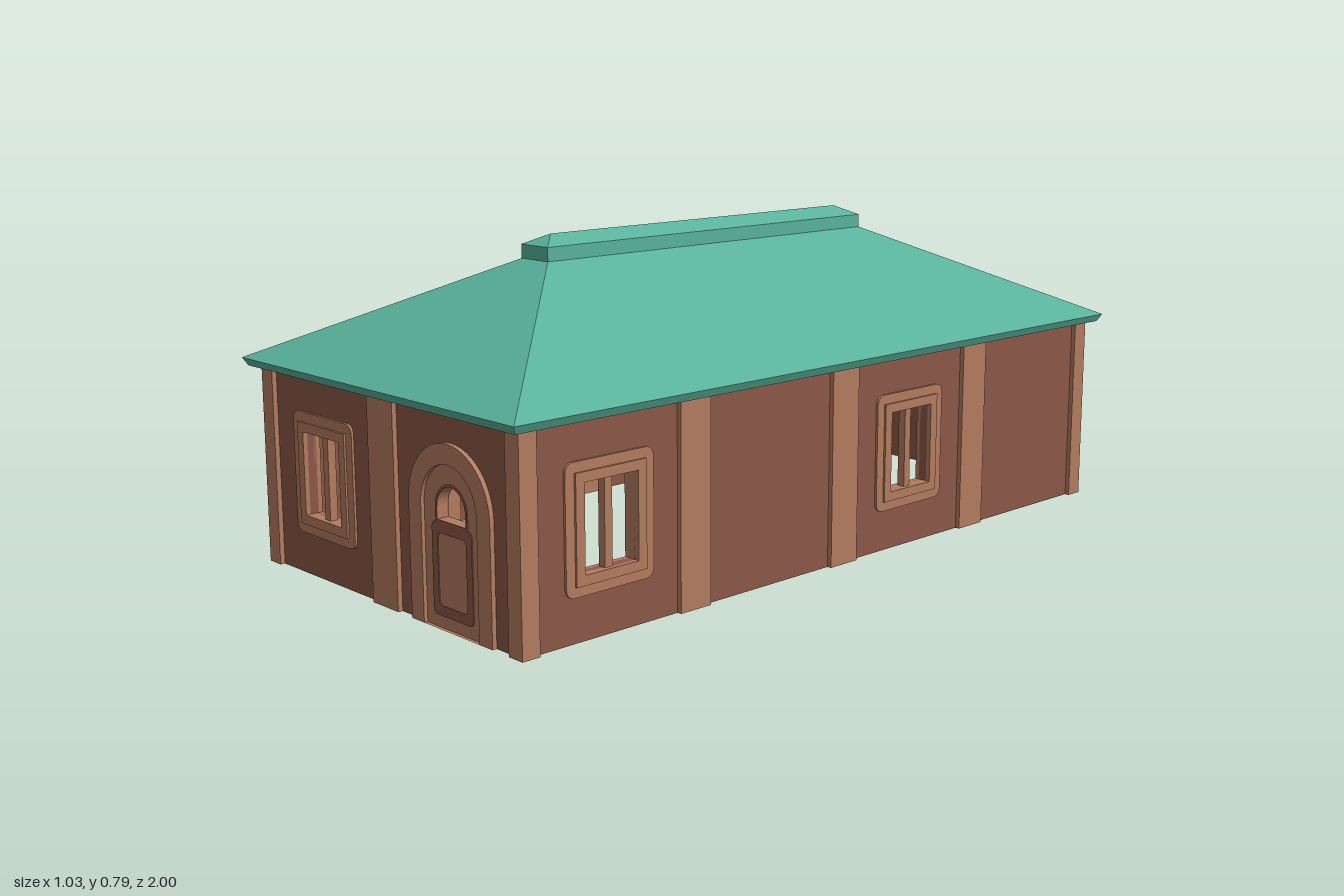
import * as THREE from 'three';

const mat = (name, color) => {
  const m = new THREE.MeshStandardMaterial({ color });
  m.name = name;
  return m;
};

export function createModel() {
  const wallMat = mat('brown wall', 0x8b5847);
  const trimMat = mat('tan trim', 0xb37b5f);
  const roofMat = mat('green roof', 0x59b29a);
  const ceilingMat = mat('slate ceiling', 0x6b7080);

  const root = new THREE.Group();
  root.name = 'house';

  const add = (parent, name, geometry, material, x = 0, y = 0, z = 0) => {
    const mesh = new THREE.Mesh(geometry, material);
    mesh.name = name;
    mesh.position.set(x, y, z);
    parent.add(mesh);
    return mesh;
  };
  const box = (w, h, d) => new THREE.BoxGeometry(w, h, d);

  // Outline of a rectangle with rounded corners, centred on (cx, cy)
  const rect = (cx, cy, w, h, r = 0, Kind = THREE.Shape) => {
    const s = new Kind(), x = cx - w / 2, y = cy - h / 2;
    s.moveTo(x + r, y);
    s.lineTo(x + w - r, y);
    if (r) s.quadraticCurveTo(x + w, y, x + w, y + r);
    s.lineTo(x + w, y + h - r);
    if (r) s.quadraticCurveTo(x + w, y + h, x + w - r, y + h);
    s.lineTo(x + r, y + h);
    if (r) s.quadraticCurveTo(x, y + h, x, y + h - r);
    s.lineTo(x, y + r);
    if (r) s.quadraticCurveTo(x, y, x + r, y);
    return s;
  };

  // Outline of a round-topped arch of half-width r, springing at height y1
  const arch = (cx, y0, y1, r, Kind = THREE.Shape) => {
    const s = new Kind();
    s.moveTo(cx - r, y0);
    s.lineTo(cx + r, y0);
    s.lineTo(cx + r, y1);
    s.absarc(cx, y1, r, 0, Math.PI, false);
    s.lineTo(cx - r, y0);
    return s;
  };

  // Plate of the given thickness centred on z = 0
  const plate = (shape, depth, ...holes) => {
    shape.holes.push(...holes);
    return new THREE.ExtrudeGeometry(shape, { depth, bevelEnabled: false, curveSegments: 12 })
      .translate(0, 0, -depth / 2);
  };

  const WALL_H = 0.478, WALL_T = 0.022, POST_T = 0.045;
  const WIN_Y = 0.2445, WIN_W = 0.147, WIN_H = 0.197;
  const DOOR_SPRING = 0.267;

  const addWindow = (parent, x) => {
    const g = new THREE.Group();
    g.name = 'window';
    g.position.set(x, WIN_Y, 0);
    parent.add(g);
    add(g, 'outerFrame', plate(rect(0, 0, 0.242, 0.288, 0.025), 0.034,
      rect(0, 0, 0.194, 0.242, 0, THREE.Path)), trimMat);
    add(g, 'innerFrame', plate(rect(0, 0, 0.194, 0.242), 0.044,
      rect(0, 0, WIN_W, WIN_H, 0, THREE.Path)), trimMat);
    add(g, 'mullion', box(0.021, WIN_H, 0.02), trimMat);
  };

  const addDoor = (parent, x) => {
    const g = new THREE.Group();
    g.name = 'door';
    g.position.set(x, 0, 0);
    parent.add(g);
    add(g, 'doorSurround', plate(arch(0, 0, DOOR_SPRING, 0.1425), 0.044,
      arch(0, 0, DOOR_SPRING, 0.0975, THREE.Path)), trimMat);
    const light = (r = 0.05, y0 = 0.238) => arch(0, y0, 0.265, r, THREE.Path);
    add(g, 'doorLeaf', plate(arch(0, 0, DOOR_SPRING, 0.0975), 0.026, light()), trimMat);
    // Dark inlays on both faces of the leaf
    for (const z of [-0.0135, 0.0135]) {
      add(g, 'lowerInlay', plate(rect(0, 0.13, 0.14, 0.205, 0.015), 0.003,
        rect(0, 0.13, 0.1, 0.16, 0.015, THREE.Path)), wallMat, 0, 0, z);
      add(g, 'archInlay', plate(arch(0, 0.2325, 0.265, 0.056), 0.003, light()), wallMat, 0, 0, z);
    }
  };

  // One wall with its windows, door and posts; local +z faces outwards
  const addWall = (name, half, distance, angle, { windows = [], door = null, posts, postW }) => {
    const g = new THREE.Group();
    g.name = name;
    g.rotation.y = angle;
    g.position.set(Math.sin(angle) * distance, 0, Math.cos(angle) * distance);
    root.add(g);
    const shape = rect(0, WALL_H / 2, half * 2, WALL_H);
    if (door !== null) {
      // The doorway is a notch in the lower edge
      shape.curves = [];
      shape.moveTo(-half, 0);
      shape.lineTo(door - 0.0975, 0);
      shape.lineTo(door - 0.0975, DOOR_SPRING);
      shape.absarc(door, DOOR_SPRING, 0.0975, Math.PI, 0, true);
      shape.lineTo(door + 0.0975, 0);
      shape.lineTo(half, 0);
      shape.lineTo(half, WALL_H);
      shape.lineTo(-half, WALL_H);
      shape.lineTo(-half, 0);
      addDoor(g, door);
    }
    const holes = windows.map((x) => rect(x, WIN_Y, WIN_W, WIN_H, 0, THREE.Path));
    add(g, 'wallPanel', plate(shape, WALL_T, ...holes), wallMat);
    windows.forEach((x) => addWindow(g, x));
    posts.forEach((x) => add(g, 'wallPost', box(postW, WALL_H, POST_T), trimMat, x, WALL_H / 2, 0));
  };

  const X = 0.4625, Z = 0.944;
  addWall('frontWall', X, Z, 0, { windows: [-0.2425], door: 0.2425, posts: [0], postW: 0.097 });
  addWall('backWall', X, Z, Math.PI, { posts: [0], postW: 0.097 });
  const side = { windows: [-0.725, 0.242], posts: [-0.485, 0, 0.485], postW: 0.09 };
  addWall('leftWall', Z, X, Math.PI / 2, side);
  addWall('rightWall', Z, X, -Math.PI / 2, side);

  // Corner posts
  for (const sx of [-1, 1]) for (const sz of [-1, 1]) {
    add(root, 'cornerPost', box(POST_T, WALL_H, POST_T + 0.001), trimMat, sx * X, WALL_H / 2, sz * Z);
  }

  // Ceiling and its cross beams
  add(root, 'ceiling', box(2 * X - WALL_T, 0.006, 2 * Z - WALL_T), ceilingMat, 0, 0.471, 0);
  for (const z of [-0.485, 0, 0.485]) {
    add(root, 'ceilingBeam', box(2 * X - POST_T, 0.01, 0.02), ceilingMat, 0, 0.464, z);
  }

  // Solid skinned over rectangular rings [halfX, halfZ, y], closed at both ends
  const loft = (rings) => {
    const pos = [];
    const corners = rings.map(([x, z, y]) => [[-x, y, z], [x, y, z], [x, y, -z], [-x, y, -z]]);
    const quad = (a, b, c, d) => pos.push(...a, ...b, ...c, ...a, ...c, ...d);
    for (let i = 0; i < rings.length - 1; i++) {
      for (let k = 0; k < 4; k++) {
        const n = (k + 1) % 4;
        quad(corners[i][k], corners[i][n], corners[i + 1][n], corners[i + 1][k]);
      }
    }
    const [a, b, c, d] = corners[0];
    quad(d, c, b, a);
    quad(...corners[corners.length - 1]);
    const geo = new THREE.BufferGeometry();
    geo.setAttribute('position', new THREE.Float32BufferAttribute(pos, 3));
    geo.computeVertexNormals();
    return geo;
  };

  // Hipped roof with a thin eave and a raised ridge cap
  add(root, 'hippedRoof', loft([[0.505, 0.99, 0.476], [0.515, 1, 0.495], [0.048, 0.533, 0.73]]), roofMat);
  add(root, 'ridgeCap', loft([[0.048, 0.533, 0.729], [0.048, 0.533, 0.763], [0.0005, 0.485, 0.787]]), roofMat);

  return root;
}
